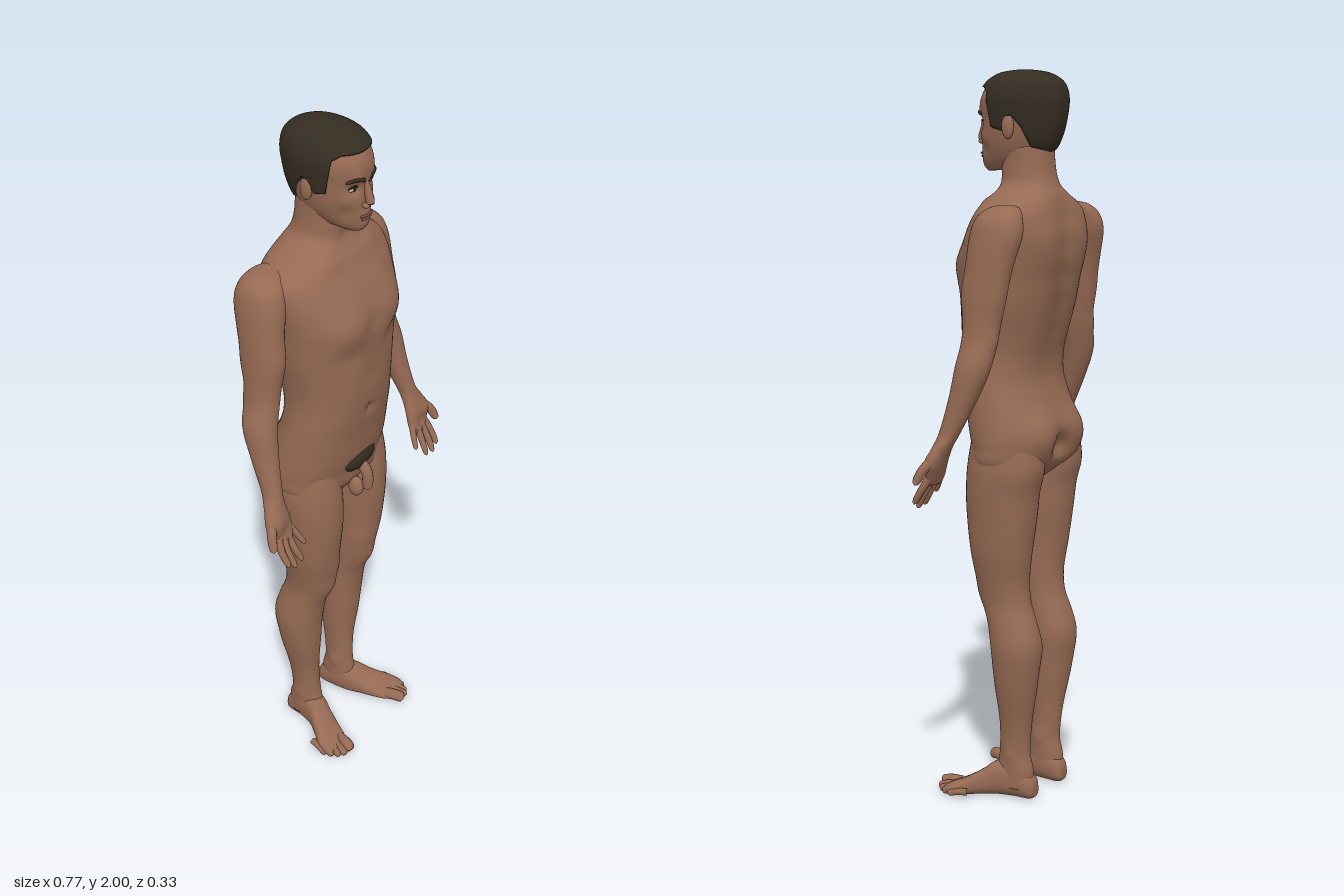
import * as THREE from 'three';

const mat = (name, color) => Object.assign(new THREE.MeshStandardMaterial({ color }), { name });

// Catmull-Rom blend of the cross-sections at u in 0..1
function section(rings, u) {
  const n = rings.length - 1, s = Math.min(u * n, n - 1e-6), i = Math.floor(s), t = s - i;
  const at = k => rings[Math.max(0, Math.min(n, k))];
  return at(i).map((b, k) => {
    const a = at(i - 1)[k], c = at(i + 1)[k], d = at(i + 2)[k];
    return b + 0.5 * t * (c - a + t * (2 * a - 5 * b + 4 * c - d + t * (3 * (b - c) + d - a)));
  });
}

// Closed loft through rings [y, centre x, half width, front z, back z], lowest first
function loft(rings, { seg = 40, rows = 50, p = 1, start = null } = {}) {
  const pos = [], idx = [], pw = v => Math.sign(v) * Math.abs(v) ** p;
  for (let j = 0; j <= rows; j++) for (let i = 0; i < seg; i++) {
    const a = i / seg * Math.PI * 2, s = start ? start(a) : 0;
    const [y, cx, w, f, b] = section(rings, s + (1 - s) * j / rows);
    const k = start && j === 0 ? 0.88 : 1;
    pos.push(cx + k * w * pw(Math.sin(a)), y, (f + b) / 2 + k * (f - b) / 2 * pw(Math.cos(a)));
  }
  for (let j = 0; j < rows; j++) for (let i = 0; i < seg; i++) {
    const a = j * seg + i, b = j * seg + (i + 1) % seg;
    idx.push(a, b, a + seg, b, b + seg, a + seg);
  }
  const cap = (ring, row, up) => {
    const c = pos.length / 3;
    pos.push(ring[1], ring[0], (ring[3] + ring[4]) / 2);
    for (let i = 0; i < seg; i++) {
      const a = row * seg + i, b = row * seg + (i + 1) % seg;
      up ? idx.push(a, b, c) : idx.push(b, a, c);
    }
  };
  if (!start) cap(rings[0], 0, false);
  cap(rings[rings.length - 1], rows, true);
  const g = new THREE.BufferGeometry();
  g.setAttribute('position', new THREE.Float32BufferAttribute(pos, 3));
  g.setIndex(idx);
  g.computeVertexNormals();
  return g;
}

// Soft swellings and hollows [x, y, z, radius, amount]; mirrored when sym is set
function sculpt(g, bumps, sym = true) {
  const P = g.attributes.position, N = g.attributes.normal;
  for (let i = 0; i < P.count; i++) {
    const x = P.getX(i), y = P.getY(i), z = P.getZ(i);
    let d = 0;
    for (const [bx, by, bz, r, h] of bumps)
      d += h * Math.exp(-(((sym ? Math.abs(x) : x) - bx) ** 2 + (y - by) ** 2 + (z - bz) ** 2) / (r * r));
    P.setXYZ(i, x + N.getX(i) * d, y + N.getY(i) * d, z + N.getZ(i) * d);
  }
  g.computeVertexNormals();
  return g;
}

// Tapered tube with a rounded tip
function digit(pts, r0, r1) {
  const T = 16, R = 10, curve = new THREE.CatmullRomCurve3(pts.map(p => new THREE.Vector3(...p)));
  const g = new THREE.TubeGeometry(curve, T, 1, R), P = g.attributes.position, v = new THREE.Vector3();
  for (let i = 0; i < P.count; i++) {
    const t = Math.floor(i / (R + 1)) / T, c = curve.getPointAt(t);
    const end = Math.sqrt(Math.max(0, 1 - Math.max(0, (t - 0.8) / 0.2) ** 2));
    v.fromBufferAttribute(P, i).sub(c).multiplyScalar((r0 + (r1 - r0) * t) * end).add(c);
    P.setXYZ(i, v.x, v.y, v.z);
  }
  return g;
}

const blob = (x, y, z, a, b, c) => new THREE.SphereGeometry(1, 24, 16).scale(a, b, c).translate(x, y, z);

function mirrored(g) {
  const m = g.clone().scale(-1, 1, 1), I = m.index;
  for (let i = 0; i < I.count; i += 3) {
    const t = I.getX(i);
    I.setX(i, I.getX(i + 1));
    I.setX(i + 1, t);
  }
  const N = g.attributes.normal;
  for (let i = 0; i < N.count; i++) m.attributes.normal.setXYZ(i, -N.getX(i), N.getY(i), N.getZ(i));
  return m;
}

export function createModel() {
  const model = new THREE.Group();
  const skin = mat('skin', 0x966a53), hairMat = mat('hair', 0x352d22), lip = mat('lips', 0x7a4c40);
  const white = mat('eyeWhite', 0xb8aca0), dark = mat('iris', 0x1e1712);
  hairMat.side = THREE.DoubleSide;
  const add = (name, g, m = skin) => {
    const mesh = new THREE.Mesh(g, m);
    mesh.name = name;
    model.add(mesh);
  };
  const pair = (name, g, m) => { add(name + 'Left', g, m); add(name + 'Right', mirrored(g), m); };

  // Torso and neck
  const torso = loft([
    [0.905, 0, 0.12, 0.05, -0.08], [0.95, 0, 0.185, 0.08, -0.128], [1.0, 0, 0.192, 0.088, -0.143],
    [1.05, 0, 0.19, 0.1, -0.143], [1.12, 0, 0.182, 0.11, -0.12], [1.18, 0, 0.174, 0.12, -0.105],
    [1.24, 0, 0.168, 0.127, -0.108], [1.3, 0, 0.172, 0.13, -0.123], [1.38, 0, 0.186, 0.129, -0.143],
    [1.45, 0, 0.193, 0.131, -0.155], [1.5, 0, 0.2, 0.127, -0.162], [1.57, 0, 0.21, 0.1, -0.163],
    [1.62, 0, 0.205, 0.072, -0.153], [1.65, 0, 0.17, 0.057, -0.143], [1.672, 0, 0.12, 0.044, -0.134],
    [1.7, 0, 0.077, 0.034, -0.12], [1.74, 0, 0.067, 0.033, -0.11], [1.8, 0, 0.065, 0.03, -0.105],
  ], { seg: 72, rows: 110, p: 0.88 });
  const spine = [1.22, 1.3, 1.38, 1.46, 1.54, 1.61].map(y => [0, y, -0.15, 0.045, -0.01]);
  add('torso', sculpt(torso, [...spine,
    [0.085, 1.485, 0.12, 0.065, 0.014], [0, 1.48, 0.14, 0.03, -0.008], [0.09, 1.405, 0.12, 0.035, -0.006],
    [0.09, 1.02, -0.14, 0.07, 0.02], [0, 0.99, -0.15, 0.035, -0.035], [0.1, 1.54, -0.15, 0.06, 0.008],
    [0, 1.2, 0.12, 0.016, -0.012], [0, 1.32, 0.13, 0.035, -0.004], [0, 1.7, 0.03, 0.02, -0.006],
    [0.09, 1.655, 0.05, 0.03, 0.005],
  ]));

  // Legs
  const leg = loft([
    [0.03, 0.083, 0.034, 0, -0.1], [0.08, 0.082, 0.036, 0.008, -0.1], [0.13, 0.082, 0.034, 0, -0.09],
    [0.22, 0.086, 0.039, -0.003, -0.097], [0.33, 0.094, 0.055, 0.006, -0.116], [0.42, 0.097, 0.063, 0.013, -0.124],
    [0.5, 0.095, 0.06, 0.026, -0.113], [0.56, 0.092, 0.057, 0.047, -0.095], [0.62, 0.094, 0.062, 0.062, -0.09],
    [0.7, 0.1, 0.071, 0.076, -0.1], [0.8, 0.1, 0.081, 0.086, -0.114], [0.87, 0.101, 0.086, 0.087, -0.122],
    [0.94, 0.102, 0.088, 0.082, -0.138], [1.02, 0.098, 0.083, 0.07, -0.13],
  ], { rows: 80, p: 0.95 });
  pair('leg', sculpt(leg, [
    [0.092, 0.585, 0.05, 0.035, 0.007], [0.055, 0.44, -0.1, 0.05, 0.007], [0.13, 0.45, -0.1, 0.05, 0.006],
    [0.045, 0.13, -0.04, 0.02, 0.006], [0.12, 0.12, -0.05, 0.02, 0.006], [0.06, 0.66, 0.05, 0.04, 0.005],
  ], false));

  // Feet, lofted heel to ball and laid flat, then toes
  pair('foot', loft([
    [-0.11, 0.08, 0.016, -0.008, -0.045], [-0.095, 0.08, 0.03, 0, -0.07], [-0.05, 0.082, 0.036, 0, -0.1],
    [0.0, 0.092, 0.04, 0, -0.1], [0.04, 0.112, 0.044, 0, -0.072], [0.08, 0.134, 0.05, 0, -0.048],
    [0.115, 0.146, 0.046, -0.002, -0.033], [0.13, 0.147, 0.035, -0.006, -0.026],
  ], { p: 0.85 }).rotateX(Math.PI / 2));
  [[0.118, 0.137, 0.166, 0.017], [0.142, 0.158, 0.162, 0.012], [0.157, 0.173, 0.15, 0.011],
    [0.169, 0.185, 0.133, 0.011], [0.178, 0.191, 0.112, 0.01]].forEach(([x0, x1, z, r], i) =>
    pair('toe' + (i + 1), digit([[x0, 0.02, z - 0.06], [(x0 + x1) / 2, r + 0.006, z - 0.025], [x1, r, z]], r, r)));

  // Arms and palms
  const arm = loft([
    [0.918, 0.308, 0.028, 0.082, 0.056], [0.94, 0.31, 0.037, 0.08, 0.046], [0.98, 0.316, 0.041, 0.073, 0.032],
    [1.02, 0.312, 0.033, 0.062, 0.014], [1.06, 0.302, 0.026, 0.05, -0.008], [1.15, 0.288, 0.034, 0.028, -0.052],
    [1.23, 0.276, 0.041, 0.015, -0.083], [1.31, 0.253, 0.039, 0.008, -0.093], [1.42, 0.24, 0.043, 0.012, -0.108],
    [1.5, 0.232, 0.047, 0.008, -0.127], [1.57, 0.218, 0.053, 0.004, -0.143], [1.615, 0.205, 0.052, -0.008, -0.135],
    [1.64, 0.185, 0.04, -0.03, -0.115], [1.648, 0.175, 0.018, -0.05, -0.09],
  ], { rows: 80, p: 0.95 });
  pair('arm', sculpt(arm, [
    [0.24, 1.42, 0.01, 0.05, 0.006], [0.255, 1.41, -0.1, 0.05, 0.005], [0.262, 1.3, -0.09, 0.02, 0.005],
    [0.34, 0.98, 0.06, 0.025, 0.007], [0.31, 0.95, 0.08, 0.02, -0.006],
  ], false));

  // Fingers and thumb
  [['thumb', [0.332, 0.995, 0.045], [0.362, 0.962, 0.068], [0.376, 0.922, 0.086], 0.014],
    ['indexFinger', [0.334, 0.945, 0.062], [0.344, 0.9, 0.088], [0.342, 0.863, 0.112], 0.0105],
    ['middleFinger', [0.318, 0.94, 0.064], [0.323, 0.89, 0.092], [0.32, 0.848, 0.115], 0.0105],
    ['ringFinger', [0.3, 0.94, 0.064], [0.297, 0.893, 0.09], [0.29, 0.853, 0.114], 0.01],
    ['littleFinger', [0.284, 0.948, 0.062], [0.271, 0.918, 0.078], [0.258, 0.885, 0.098], 0.009],
  ].forEach(([name, a, b, c, r]) => pair(name, digit([a, b, c], r * 1.1, r * 0.8)));

  // Plain anatomy of the groin
  add('groinHair', blob(0, 1.017, 0.085, 0.066, 0.034, 0.02), hairMat);
  add('groinFront', digit([[0, 1.0, 0.09], [0, 0.97, 0.112], [0, 0.915, 0.113]], 0.016, 0.016));
  pair('groinSide', blob(0.018, 0.925, 0.088, 0.02, 0.03, 0.022));

  // Head
  const headRings = [
    [1.735, 0, 0.025, 0.085, 0.02], [1.75, 0, 0.046, 0.093, -0.05], [1.78, 0, 0.064, 0.098, -0.1],
    [1.82, 0, 0.076, 0.099, -0.122], [1.87, 0, 0.082, 0.1, -0.135], [1.92, 0, 0.086, 0.101, -0.139],
    [1.96, 0, 0.073, 0.08, -0.125], [1.984, 0, 0.045, 0.04, -0.085], [1.992, 0, 0.012, -0.01, -0.035],
  ];
  add('head', sculpt(loft(headRings, { seg: 72, rows: 70, p: 0.92 }), [
    [0.034, 1.861, 0.09, 0.018, -0.011], [0.03, 1.888, 0.098, 0.018, 0.004], [0, 1.754, 0.093, 0.022, 0.006],
    [0.05, 1.83, 0.075, 0.02, 0.004], [0, 1.778, 0.1, 0.02, 0.004], [0.05, 1.79, 0.07, 0.02, -0.004],
  ]));

  // Cropped hair shell; hairline given as [degrees from the front, height fraction]
  const line = [[0, 0.7], [42, 0.7], [57, 0.66], [67, 0.42], [84, 0.4], [94, 0.5], [110, 0.42], [130, 0.27], [180, 0.22]];
  const start = a => {
    const d = Math.min(a, Math.PI * 2 - a) * 180 / Math.PI;
    const k = Math.max(1, line.findIndex(q => q[0] >= d - 1e-6)), [d0, u0] = line[k - 1], [d1, u1] = line[k];
    return u0 + (u1 - u0) * (d - d0) / (d1 - d0);
  };
  add('hair', loft(headRings.map(([y, x, w, f, b]) => [y + 0.008, x, w + 0.008, f + 0.005, b - 0.011]),
    { seg: 96, rows: 40, p: 0.92, start }), hairMat);

  // Face
  add('nose', digit([[0, 1.875, 0.093], [0, 1.845, 0.104], [0, 1.812, 0.112]], 0.008, 0.013));
  pair('nostril', blob(0.011, 1.812, 0.104, 0.008, 0.007, 0.01));
  add('upperLip', blob(0, 1.781, 0.099, 0.024, 0.0045, 0.007), lip);
  add('lowerLip', blob(0, 1.773, 0.099, 0.02, 0.005, 0.007), lip);
  pair('ear', blob(0.086, 1.85, -0.022, 0.01, 0.032, 0.018).rotateY(0.02));
  pair('eye', blob(0.034, 1.861, 0.081, 0.015, 0.007, 0.007), white);
  pair('iris', blob(0.034, 1.861, 0.085, 0.006, 0.006, 0.004), dark);
  pair('eyelid', digit([[0.019, 1.863, 0.086], [0.034, 1.869, 0.087], [0.05, 1.863, 0.078]], 0.003, 0.002), dark);
  pair('eyebrow', digit([[0.014, 1.884, 0.101], [0.036, 1.89, 0.095], [0.058, 1.883, 0.077]], 0.006, 0.004), hairMat);

  return model;
}
